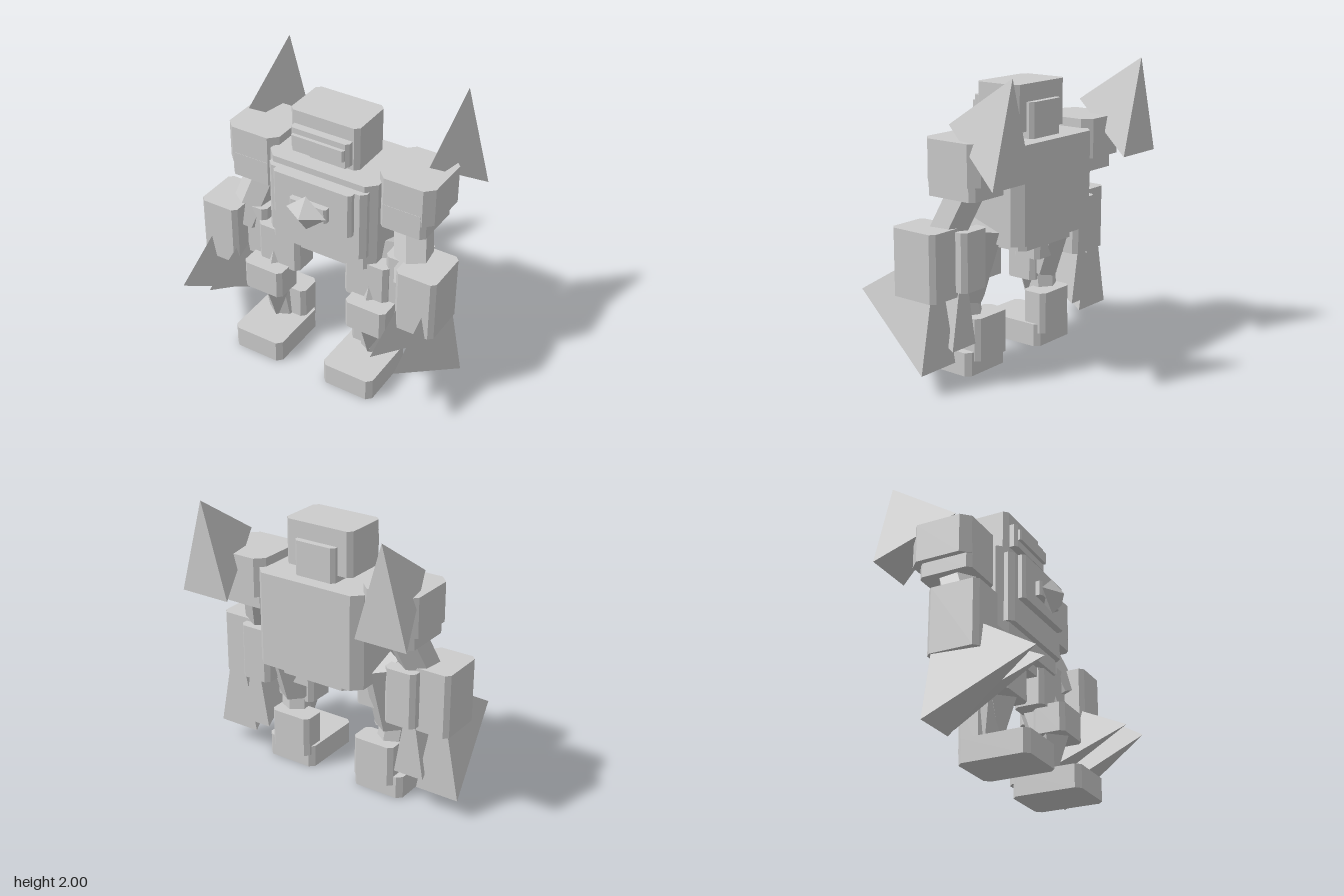
import * as THREE from 'three';

const grey = new THREE.MeshStandardMaterial({ color: 0xcccccc, flatShading: true });
grey.name = 'plain grey';

function add(group, name, geometry) {
  const mesh = new THREE.Mesh(geometry, grey);
  mesh.name = name;
  group.add(mesh);
  return mesh;
}

// Box with chamfered vertical edges, given by its extents
function block(group, name, [x0, x1], [y0, y1], [z0, z1], c) {
  const hx = (x1 - x0) / 2, hz = (z1 - z0) / 2;
  const shape = new THREE.Shape([
    [hx, -hz + c], [hx, hz - c], [hx - c, hz], [-hx + c, hz],
    [-hx, hz - c], [-hx, -hz + c], [-hx + c, -hz], [hx - c, -hz],
  ].map(([x, y]) => new THREE.Vector2(x, y)));
  const g = new THREE.ExtrudeGeometry(shape, { depth: y1 - y0, bevelEnabled: false });
  g.rotateX(-Math.PI / 2);
  g.translate((x0 + x1) / 2, y0, (z0 + z1) / 2);
  return add(group, name, g);
}

// Six-sided limb between two points
function limb(group, name, from, to, r) {
  const a = new THREE.Vector3(...from), b = new THREE.Vector3(...to);
  const dir = b.clone().sub(a);
  const mesh = add(group, name, new THREE.CylinderGeometry(r, r, dir.length(), 6));
  mesh.position.copy(a).add(b).multiplyScalar(0.5);
  mesh.quaternion.setFromUnitVectors(new THREE.Vector3(0, 1, 0), dir.normalize());
}

// Three-sided spike pointing forward, with its triangular base at zBack
function spike(group, name, x, w, yLow, yHigh, zBack, zTip) {
  const t = [x, (yLow + yHigh) / 2, zTip];
  const top = [x, yHigh, zBack], l = [x - w, yLow, zBack], r = [x + w, yLow, zBack];
  const g = new THREE.BufferGeometry();
  g.setAttribute('position', new THREE.Float32BufferAttribute(
    [t, top, l, t, r, top, t, l, r, top, r, l].flat(), 3));
  g.computeVertexNormals();
  add(group, name, g);
}

function diamond(group, name, [x, y, z], [rx, ry, rz]) {
  const g = new THREE.OctahedronGeometry(1);
  g.scale(rx, ry, rz);
  g.computeVertexNormals();
  g.translate(x, y, z);
  add(group, name, g);
}

export function createModel() {
  const model = new THREE.Group();
  model.name = 'robot';

  // Torso with stepped chest plates and gem
  const body = new THREE.Group();
  body.name = 'body';
  model.add(body);
  block(body, 'torso', [-0.41, 0.41], [0.885, 1.535], [-0.405, 0.14], 0.065);
  block(body, 'chestPlate', [-0.37, 0.37], [0.99, 1.49], [0, 0.18], 0.035);
  block(body, 'upperChestPlate', [-0.295, 0.295], [1.17, 1.49], [0.15, 0.23], 0.02);
  block(body, 'gemMount', [-0.14, 0.14], [1.25, 1.355], [0.2, 0.275], 0.015);
  diamond(body, 'chestGem', [0, 1.295, 0.285], [0.15, 0.128, 0.09]);
  block(body, 'pelvis', [-0.27, 0.27], [0.82, 0.9], [-0.33, 0.08], 0.04);

  // Head with visor
  const head = new THREE.Group();
  head.name = 'head';
  model.add(head);
  block(head, 'neck', [-0.155, 0.155], [1.52, 1.77], [-0.31, 0.03], 0.025);
  block(head, 'skull', [-0.255, 0.255], [1.58, 1.885], [-0.265, 0.075], 0.03);
  block(head, 'visorFrame', [-0.215, 0.215], [1.62, 1.79], [0.04, 0.13], 0.02);
  block(head, 'visor', [-0.195, 0.195], [1.67, 1.75], [0.1, 0.155], 0.01);

  // Arms and legs, mirrored
  for (const s of [1, -1]) {
    const side = s > 0 ? 'left' : 'right';
    const span = (a, b) => (s > 0 ? [a, b] : [-b, -a]);

    const arm = new THREE.Group();
    arm.name = side + 'Arm';
    model.add(arm);
    block(arm, 'shoulder', span(0.38, 0.78), [1.325, 1.595], [-0.365, 0.07], 0.06);
    block(arm, 'shoulderSkirt', span(0.41, 0.74), [1.225, 1.4], [-0.31, 0.072], 0.03);
    spike(arm, 'shoulderSpike', s * 0.68, 0.185, 1.352, 2, -0.575, -0.075);
    limb(arm, 'upperArm', [s * 0.53, 1.4, -0.18], [s * 0.67, 0.85, 0.04], 0.13);
    block(arm, 'forearm', span(0.62, 0.91), [0.585, 1.03], [-0.135, 0.22], 0.03);
    block(arm, 'innerForearm', span(0.47, 0.7), [0.62, 1.01], [-0.21, 0.08], 0.03);
    spike(arm, 'largeClaw', s * 0.83, 0.157, 0.137, 0.94, -0.1, 0.57);
    spike(arm, 'smallClaw', s * 0.635, 0.11, 0.235, 0.875, -0.143, 0.53);

    const leg = new THREE.Group();
    leg.name = side + 'Leg';
    model.add(leg);
    limb(leg, 'thigh', [s * 0.4, 1.0, -0.14], [s * 0.4, 0.5, 0.03], 0.12);
    block(leg, 'thighArmour', span(0.18, 0.51), [0.625, 0.92], [-0.1, 0.12], 0.03);
    block(leg, 'kneePad', span(0.255, 0.56), [0.44, 0.645], [0, 0.235], 0.03);
    diamond(leg, 'kneeSpike', [s * 0.38, 0.46, 0.1], [0.12, 0.34, 0.12]);
    limb(leg, 'shin', [s * 0.42, 0.58, 0.06], [s * 0.375, 0.08, -0.01], 0.105);
    block(leg, 'calf', span(0.19, 0.5), [0.095, 0.385], [-0.143, 0.04], 0.03);
    block(leg, 'foot', span(0.17, 0.557), [0, 0.16], [-0.11, 0.38], 0.035);
  }
  return model;
}
